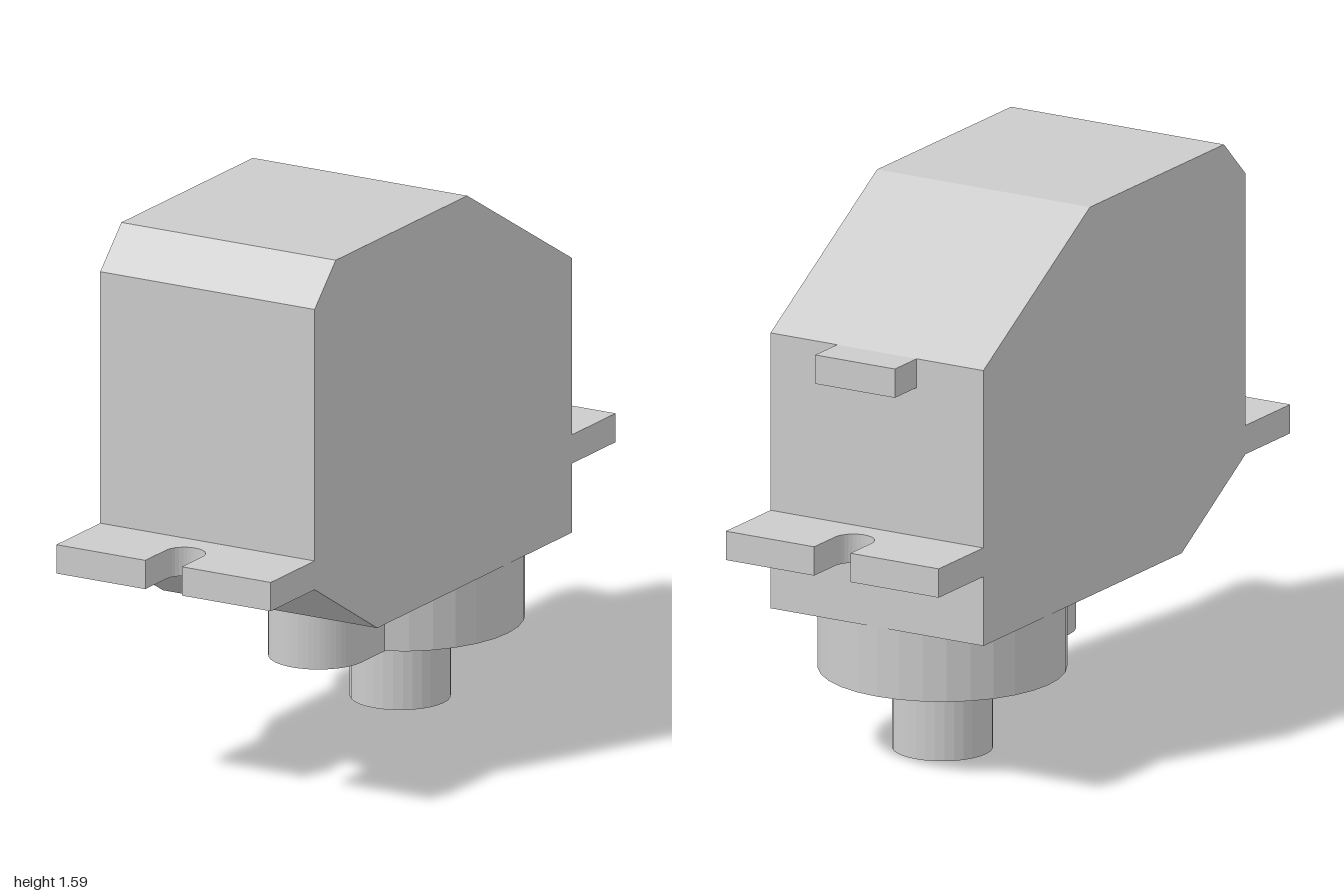
import * as THREE from 'three';

const HALF_LENGTH = 0.706, HALF_WIDTH = 0.353;
const material = new THREE.MeshStandardMaterial({ color: 0xcccccc, flatShading: true });

function part(name, geometry) {
  const mesh = new THREE.Mesh(geometry, material);
  mesh.name = name;
  return mesh;
}

// Extrude a plan outline upward from y0 to y1
function slab(shape, y0, y1, curveSegments) {
  return new THREE.ExtrudeGeometry(shape, { depth: y1 - y0, bevelEnabled: false, curveSegments })
    .rotateX(-Math.PI / 2).translate(0, y0, 0);
}

// Mounting ear with an open, round-ended screw slot
function earShape() {
  const end = 0.947, r = 0.06, slot = 0.833;
  const s = new THREE.Shape();
  s.moveTo(HALF_LENGTH, -HALF_WIDTH);
  s.lineTo(end, -HALF_WIDTH);
  s.lineTo(end, -r);
  s.lineTo(slot, -r);
  s.absarc(slot, 0, r, -Math.PI / 2, Math.PI / 2, true);
  s.lineTo(end, r);
  s.lineTo(end, HALF_WIDTH);
  s.lineTo(HALF_LENGTH, HALF_WIDTH);
  s.closePath();
  return s;
}

// Large round gear cover joined to a smaller round-ended one
function gearCoverShape() {
  const big = HALF_WIDTH, small = 0.142, smallX = -0.096;
  const a = Math.PI - Math.asin(small / big);
  const s = new THREE.Shape();
  s.absarc(big, 0, big, -a, a, false);
  s.lineTo(smallX, small);
  s.absarc(smallX, 0, small, Math.PI / 2, Math.PI * 1.5, false);
  s.closePath();
  return s;
}

export function createModel() {
  const model = new THREE.Group();
  model.name = 'servoMotor';
  const servo = new THREE.Group();
  servo.name = 'servo';
  servo.rotation.y = Math.PI / 6;
  model.add(servo);

  // Housing with chamfered corners
  const profile = [
    [-0.362, 0.443], [HALF_LENGTH, 0.443], [HALF_LENGTH, 1.255], [0.132, 1.59],
    [-0.59, 1.59], [-HALF_LENGTH, 1.475], [-HALF_LENGTH, 0.647],
  ].map(([x, y]) => new THREE.Vector2(x, y));
  servo.add(part('housing', new THREE.ExtrudeGeometry(new THREE.Shape(profile),
    { depth: HALF_WIDTH * 2, bevelEnabled: false }).translate(0, 0, -HALF_WIDTH)));

  // Mounting ears at both ends
  for (const [name, turn] of [['leftEar', 0], ['rightEar', Math.PI]]) {
    servo.add(part(name, slab(earShape(), 0.647, 0.732, 8).rotateY(turn)));
  }

  // Cable outlet
  servo.add(part('cableOutlet', new THREE.BoxGeometry(0.118, 0.085, 0.264)
    .translate(HALF_LENGTH + 0.059, 1.2125, 0)));

  // Gear cover under the housing
  servo.add(part('gearCover', slab(gearCoverShape(), 0.238, 0.443, 14)));

  // Output shaft with a screw hole
  const shaft = [[0, 0.238], [0.048, 0.238], [0.048, 0], [0.143, 0], [0.143, 0.238]]
    .map(([x, y]) => new THREE.Vector2(x, y));
  servo.add(part('outputShaft', new THREE.LatheGeometry(shaft, 32).translate(HALF_WIDTH, 0, 0)));

  return model;
}
